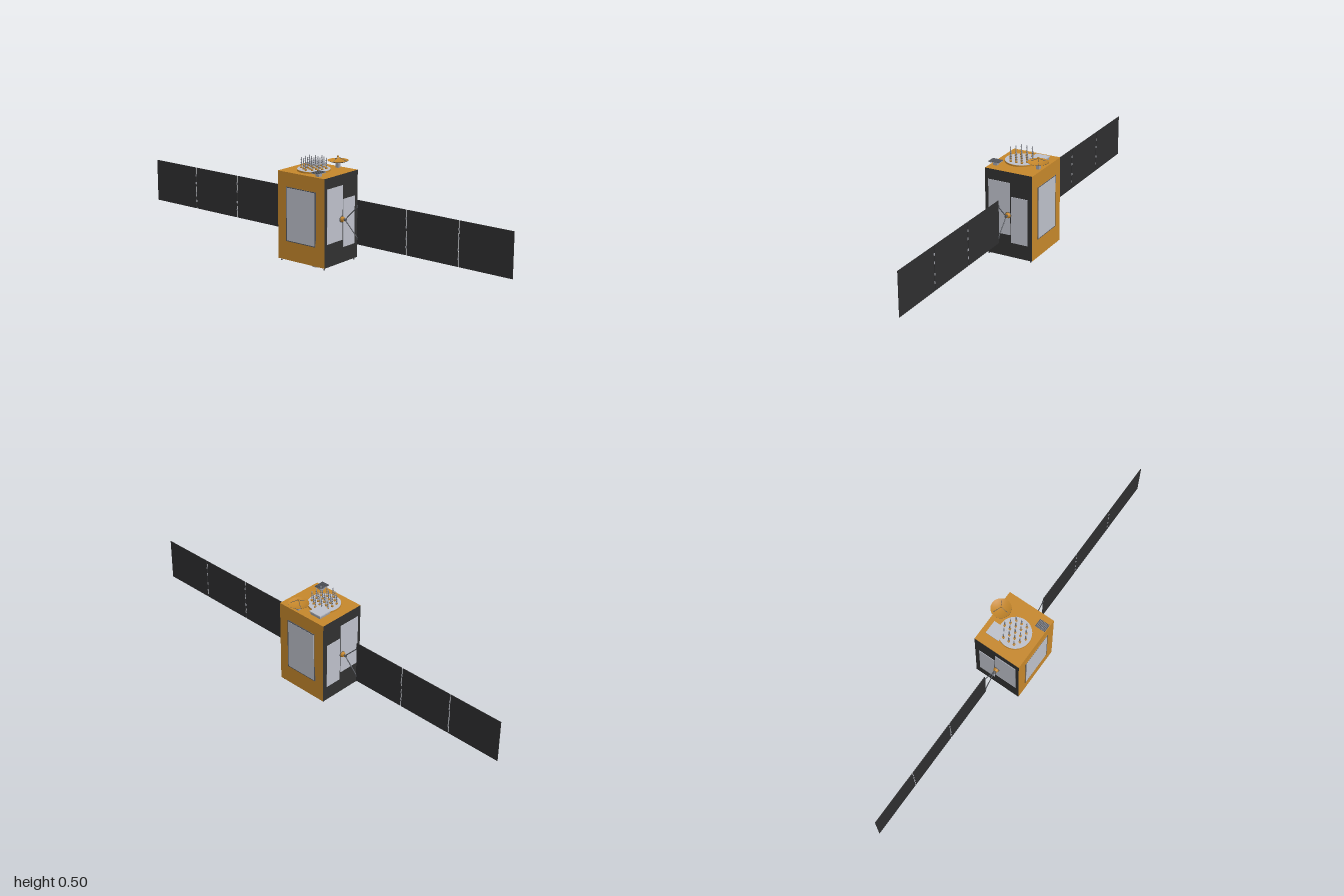
import * as THREE from 'three';

const mat = (name, color, side = THREE.FrontSide) => {
  const m = new THREE.MeshStandardMaterial({ color, side });
  m.name = name;
  return m;
};

export function createModel() {
  const gold = mat('gold foil', 0xc4862b);
  const goldSheet = mat('gold reflector', 0xc4862b, THREE.DoubleSide);
  const black = mat('black insulation', 0x303030);
  const cell = mat('solar cell', 0x2e2e2f);
  const pale = mat('pale radiator', 0xbcbfc9);
  const grey = mat('grey metal', 0x9a9ca4);
  const greySheet = mat('grey sheet', 0x8c8c93, THREE.DoubleSide);
  const dark = mat('dark metal', 0x55585e);
  const darkSheet = mat('dark reflector back', 0x4a4c50, THREE.DoubleSide);

  const root = new THREE.Group();
  root.name = 'satellite';
  const add = (name, geo, material, x = 0, y = 0, z = 0, parent = root) => {
    const mesh = new THREE.Mesh(geo, material);
    mesh.name = name;
    mesh.position.set(x, y, z);
    parent.add(mesh);
    return mesh;
  };
  const box = (name, w, h, d, material, x, y, z, parent) =>
    add(name, new THREE.BoxGeometry(w, h, d), material, x, y, z, parent);
  const cyl = (name, rt, rb, h, material, x, y, z, parent, n = 24) =>
    add(name, new THREE.CylinderGeometry(rt, rb, h, n), material, x, y, z, parent);
  const lathe = (name, pts, material, x, y, z, parent) =>
    add(name, new THREE.LatheGeometry(pts.map(p => new THREE.Vector2(...p)), 40), material, x, y, z, parent);
  // Round bar between two points
  const bar = (name, a, b, r, material, parent) => {
    const p = new THREE.Vector3(...a), q = new THREE.Vector3(...b);
    const mesh = cyl(name, r, r, p.distanceTo(q), material, 0, 0, 0, parent, 8);
    mesh.position.copy(p).add(q).multiplyScalar(0.5);
    mesh.quaternion.setFromUnitVectors(new THREE.Vector3(0, 1, 0), q.sub(p).normalize());
    return mesh;
  };

  const cx = -0.012, cy = 0.239, halfX = 0.1155, halfZ = 0.131, top = 0.438;

  // Body: gold sides, top and bottom, black front and back
  box('body', halfX * 2, 0.398, halfZ * 2, [gold, gold, gold, gold, black, black], cx, cy, 0);

  // Radiators on the gold sides
  for (const s of [1, -1]) {
    const x = cx + s * halfX;
    box('sideRadiatorBase', 0.006, 0.246, 0.166, gold, x, 0.25, 0);
    box('sideRadiatorFrame', 0.007, 0.246, 0.166, dark, x, 0.25, 0);
    box('sideRadiator', 0.008, 0.238, 0.156, pale, x, 0.25, 0);
  }
  // Radiators on the front and back
  for (const s of [1, -1]) {
    box('largeRadiator', 0.107, 0.245, 0.004, pale, -0.0575, 0.2665, s * halfZ);
    box('smallRadiator', 0.08, 0.217, 0.004, pale, 0.041, 0.2175, s * halfZ);
  }

  // Underside: adapter ring, engine nozzle and corner thrusters
  cyl('adapterRing', 0.0655, 0.0655, 0.012, grey, cx, 0.036, 0, root, 40);
  lathe('engineNozzle', [[0.026, 0], [0.022, 0.009], [0.017, 0.02], [0.012, 0.031]], greySheet, cx, 0, 0);
  cyl('engineThroat', 0.012, 0.012, 0.004, dark, cx, 0.028, 0);
  for (const sx of [1, -1]) for (const sz of [1, -1]) {
    cyl('thruster', 0.002, 0.004, 0.007, dark, cx + sx * 0.104, 0.0335, sz * 0.121, root, 12);
    cyl('thrusterMount', 0.003, 0.003, 0.004, grey, cx + sx * 0.104, 0.0385, sz * 0.121, root, 12);
  }

  // Round antenna deck with a hexagonal array of 19 rods
  const array = new THREE.Group();
  array.name = 'antennaArray';
  array.position.set(-0.025, top, -0.012);
  root.add(array);
  cyl('arrayBase', 0.074, 0.074, 0.007, gold, 0, 0.0035, 0, array, 40);
  cyl('arrayDeck', 0.073, 0.073, 0.001, pale, 0, 0.0075, 0, array, 40);
  const pitch = 0.0275;
  for (let row = -2; row <= 2; row++) {
    const count = 5 - Math.abs(row);
    for (let i = 0; i < count; i++) {
      const x = (i - (count - 1) / 2) * pitch, z = row * pitch * 0.866;
      cyl('rodCup', 0.006, 0.005, 0.006, gold, x, 0.011, z, array, 12);
      cyl('rod', 0.0022, 0.0022, 0.045, grey, x, 0.0345, z, array, 8);
      for (const y of [0.024, 0.034, 0.045]) cyl('rodCollar', 0.003, 0.003, 0.002, dark, x, y, z, array, 8);
    }
  }

  // Dish antenna on a short post
  const dish = new THREE.Group();
  dish.name = 'dishAntenna';
  dish.position.set(0.083, 0.459, 0.037);
  root.add(dish);
  box('dishPost', 0.016, 0.021, 0.016, grey, 0, -0.0105, 0, dish);
  const bowl = [0, 0.2, 0.4, 0.6, 0.8, 1].map(t => [t * 0.046, 0.011 * t * t]);
  lathe('dishBack', bowl, darkSheet, 0, 0, 0, dish);
  lathe('dishFace', bowl, goldSheet, 0, 0.001, 0, dish);
  box('dishFeed', 0.007, 0.007, 0.007, gold, 0, 0.029, 0, dish);
  for (let i = 0; i < 3; i++) {
    const a = Math.PI + i * Math.PI * 2 / 3;
    bar('feedStrut', [Math.cos(a) * 0.037, 0.008, Math.sin(a) * 0.037], [0, 0.028, 0], 0.001, dark, dish);
  }

  // Equipment box on the roof
  box('equipmentBase', 0.06, 0.012, 0.056, grey, 0.043, top + 0.006, -0.054);
  box('equipmentLid', 0.067, 0.005, 0.064, pale, 0.043, top + 0.0145, -0.054);

  // Slatted sensor on the roof corner
  box('sensorPost', 0.02, 0.015, 0.02, grey, -0.102, top + 0.0075, 0.079);
  box('sensorPlate', 0.05, 0.003, 0.038, grey, -0.103, top + 0.0155, 0.079);
  for (let i = 0; i < 8; i++)
    box('sensorSlat', 0.004, 0.003, 0.038, dark, -0.1255 + i * 0.0064, top + 0.0185, 0.079);

  // Solar wings, front and back
  for (const s of [1, -1]) {
    const wing = new THREE.Group();
    wing.name = s > 0 ? 'frontWing' : 'backWing';
    wing.position.set(cx, cy, 0);
    wing.rotation.y = s > 0 ? 0 : Math.PI;
    root.add(wing);
    const hub = cyl('wingHub', 0.009, 0.014, 0.016, gold, 0, 0, 0.139, wing);
    hub.rotation.x = Math.PI / 2;
    const rim = add('hubRim', new THREE.TorusGeometry(0.0135, 0.0015, 8, 28), dark, 0, 0, 0.134, wing);
    rim.scale.z = 1.5;
    cyl('wingPivot', 0.005, 0.005, 0.014, dark, 0, 0, 0.152, wing, 12).rotation.x = Math.PI / 2;
    for (const v of [1, -1])
      bar('yokeArm', [0, 0, 0.152], [0, v * 0.072, 0.222], 0.0022, dark, wing);
    for (let i = 0; i < 3; i++) {
      const z = 0.3485 + i * 0.2615;
      box('solarPanel', 0.003, 0.198, 0.257, cell, 0, 0.001, z, wing);
      // Hinges on the inner edge of each panel
      for (const v of [-0.062, -0.025, 0.025, 0.062])
        if (i) box('panelHinge', 0.005, 0.01, 0.007, grey, 0, v, z - 0.1307, wing);
        else if (Math.abs(v) > 0.05) box('yokeHinge', 0.005, 0.012, 0.007, dark, 0, v * 1.15, z - 0.1285, wing);
    }
  }
  return root;
}
